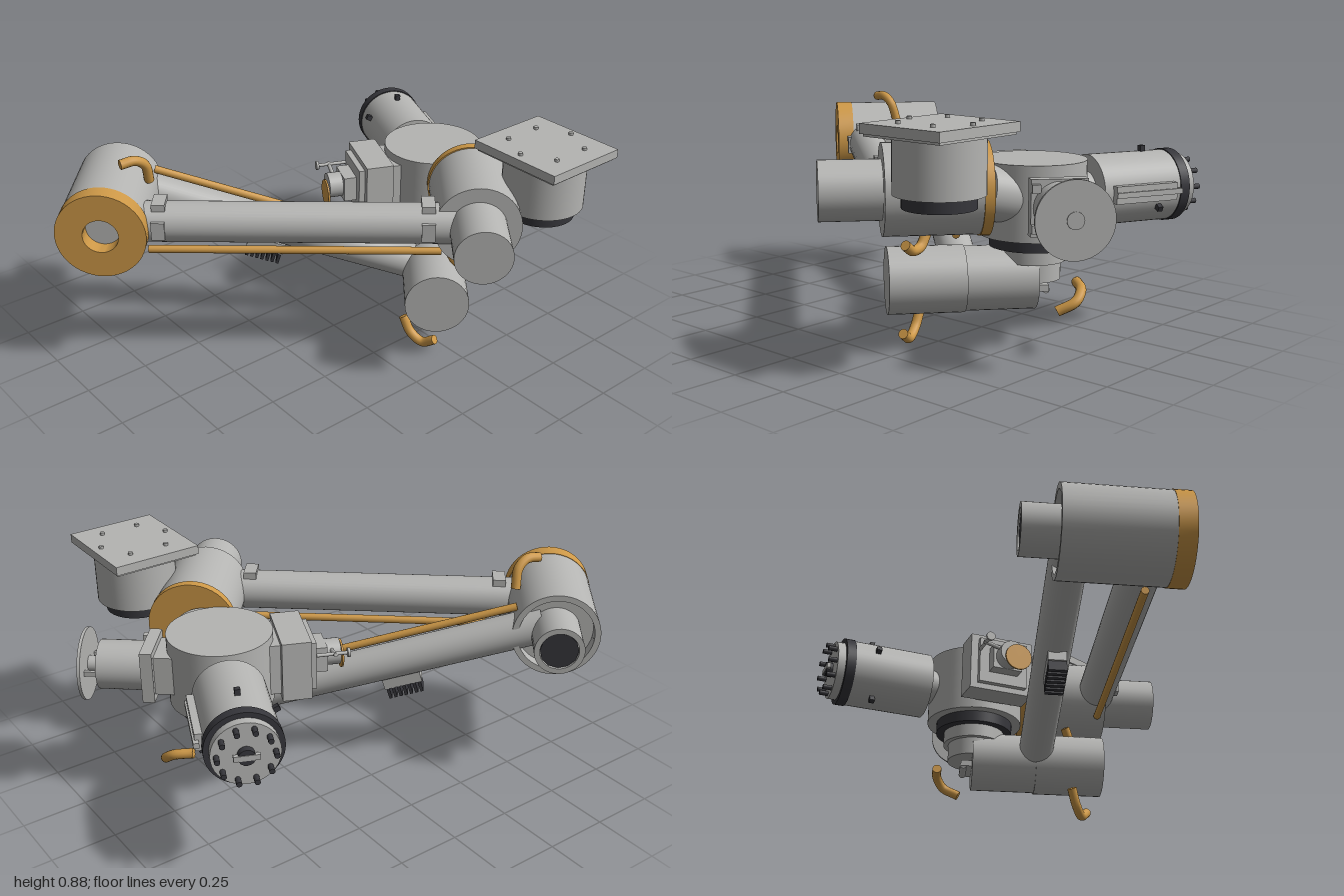
import * as THREE from 'three';
import { toCreasedNormals } from 'three/addons/utils/BufferGeometryUtils.js';

const makeMat = (name, color) => {
  const m = new THREE.MeshStandardMaterial({ color });
  m.name = name;
  return m;
};
const V = (a) => new THREE.Vector3(...a);

export function createModel() {
  const grey = makeMat('light grey', 0xb4b4b2);
  const dark = makeMat('charcoal', 0x36363b);
  const gold = makeMat('gold', 0xcd9847);
  const root = new THREE.Group();
  root.name = 'robotArm';

  const add = (parent, name, geo, mat) => {
    const m = new THREE.Mesh(geo, mat);
    m.name = name;
    parent.add(m);
    return m;
  };
  // Cylinder between two points
  const rod = (parent, name, mat, r, a, b, seg = 40) => {
    const p = V(a), q = V(b), d = q.clone().sub(p);
    const m = add(parent, name, new THREE.CylinderGeometry(r, r, d.length(), seg), mat);
    m.position.copy(p).add(q).multiplyScalar(0.5);
    m.quaternion.setFromUnitVectors(new THREE.Vector3(0, 1, 0), d.normalize());
    return m;
  };
  const box = (parent, name, mat, size, pos) => {
    const m = add(parent, name, new THREE.BoxGeometry(...size), mat);
    m.position.set(...pos);
    return m;
  };
  // Turned part along z; profile is [radius, z] from low z to high z
  const turned = (parent, name, mat, profile, x, y) => {
    const pts = profile.map(([r, z]) => new THREE.Vector2(r, z));
    const m = add(parent, name, toCreasedNormals(new THREE.LatheGeometry(pts, 48), 0.6), mat);
    m.rotation.x = Math.PI / 2;
    m.position.set(x, y, 0);
    return m;
  };
  const hook = (name, pts, r = 0.019) => {
    const curve = new THREE.CatmullRomCurve3(pts.map(V));
    add(root, name, new THREE.TubeGeometry(curve, 24, r, 12), gold);
    const ends = [curve.getPoint(0), curve.getPoint(1)];
    const dirs = [curve.getTangent(0), curve.getTangent(1)];
    ends.forEach((e, i) => {
      const d = dirs[i].multiplyScalar(0.002);
      rod(root, name + 'End', gold, r, e.clone().sub(d).toArray(), e.clone().add(d).toArray(), 12);
    });
  };

  // Arm frame: x runs along the arms, z along the joint drums
  const arm = new THREE.Group();
  arm.name = 'armAssembly';
  arm.rotation.y = -0.7011;
  root.add(arm);

  // Shoulder drum with gold ring and open back
  const sx = -0.843, sy = 0.61;
  turned(arm, 'shoulderDrum', grey,
    [[0, -0.06], [0.143, -0.06], [0.143, -0.11], [0.166, -0.11], [0.166, 0.275], [0, 0.275]], sx, sy);
  turned(arm, 'shoulderRing', gold,
    [[0.066, 0.272], [0.168, 0.272], [0.168, 0.338], [0.066, 0.338], [0.066, 0.272]], sx, sy);
  turned(arm, 'shoulderStub', grey,
    [[0, -0.215], [0.072, -0.215], [0.072, -0.236], [0.093, -0.236], [0.093, -0.06]], sx, sy);
  rod(arm, 'shoulderStubCore', dark, 0.071, [sx, sy, -0.2], [sx, sy, -0.23], 12);

  // Level arm and sloping arm with conduits
  rod(arm, 'upperArm', grey, 0.077, [-0.75, 0.61, 0.217], [0.45, 0.61, 0.217]);
  rod(arm, 'lowerArm', grey, 0.07, [-0.8, 0.627, -0.05], [0.4, 0.257, -0.055]);
  rod(arm, 'upperArmConduit', gold, 0.015, [-0.694, 0.49, 0.217], [0.406, 0.49, 0.217], 12);
  rod(arm, 'lowerArmConduit', gold, 0.015, [-0.695, 0.695, -0.045], [0.29, 0.39, -0.045], 12);
  for (const x of [-0.64, 0.35]) {
    box(arm, 'upperArmClamp', grey, [0.05, 0.03, 0.09], [x, 0.685, 0.217]);
    box(arm, 'upperArmClampSide', grey, [0.05, 0.07, 0.03], [x, 0.61, 0.285]);
  }

  // Finned connector under the sloping arm
  const fins = new THREE.Group();
  fins.name = 'finnedConnector';
  fins.position.set(-0.27, 0.375, -0.045);
  fins.rotation.z = -0.3;
  arm.add(fins);
  box(fins, 'connectorBlock', grey, [0.15, 0.045, 0.07], [0, 0, 0]);
  for (let i = 0; i < 7; i++) {
    box(fins, 'connectorFin', dark, [0.012, 0.045, 0.07], [-0.063 + i * 0.021, -0.044, 0]);
  }

  // Elbow drum
  const ex = 0.535, ey = 0.61;
  rod(arm, 'elbowDrum', grey, 0.163, [ex, ey, -0.085], [ex, ey, 0.253], 48);
  rod(arm, 'elbowDisc', gold, 0.168, [ex, ey, -0.118], [ex, ey, -0.083], 48);
  rod(arm, 'elbowStub', grey, 0.107, [ex, ey, 0.25], [ex, ey, 0.472]);
  rod(arm, 'elbowNeck', grey, 0.1, [0.47, 0.56, -0.25], [0.51, 0.59, -0.11]);

  // Lower joint drum
  rod(arm, 'lowerDrumFront', grey, 0.124, [0.4, 0.253, -0.055], [0.4, 0.253, 0.225]);
  rod(arm, 'lowerDrumBack', grey, 0.119, [0.4, 0.253, -0.315], [0.4, 0.253, -0.055]);
  box(arm, 'lowerDrumPlate', grey, [0.13, 0.024, 0.05], [0.4, 0.222, -0.335]);
  rod(arm, 'lowerDrumPin', grey, 0.014, [0.34, 0.215, -0.35], [0.46, 0.215, -0.35], 12);

  // Central body
  const bx = 0.503, bz = 0.02;
  const stack = [['bodyDrum', grey, 0.195, 0.416, 0.69], ['bodyBand', dark, 0.157, 0.372, 0.418],
    ['bodyCollar', grey, 0.125, 0.32, 0.373], ['bodyNeck', grey, 0.105, 0.25, 0.321]];
  for (const [n, m, r, y0, y1] of stack) rod(root, n, m, r, [bx, y0, bz], [bx, y1, bz], 56);

  // Side port: block, cylinder and disc
  const py = 0.556, pz = -0.345;
  box(arm, 'portMount', grey, [0.12, 0.15, 0.16], [0.575, py, pz]);
  box(arm, 'portFlange', grey, [0.045, 0.2, 0.2], [0.645, py, pz]);
  rod(arm, 'portCylinder', grey, 0.092, [0.65, py, pz], [0.835, py, pz]);
  rod(arm, 'portStem', grey, 0.03, [0.83, py, pz], [0.895, py, pz], 20);
  rod(arm, 'portDisc', grey, 0.135, [0.88, py, pz], [0.891, py, pz], 48);
  for (const s of [-1, 1]) {
    box(arm, 'portLug', grey, [0.05, 0.018, 0.014], [0.86, py, pz + s * 0.075]);
    box(arm, 'portFlangeLug', grey, [0.06, 0.03, 0.03], [0.66, py + s * 0.07, pz + 0.085]);
  }

  // Tool mount with bolted square plate
  const tx = 0.547, tz = 0.572;
  rod(root, 'mountBase', dark, 0.126, [tx, 0.59, tz], [tx, 0.636, tz]);
  rod(root, 'mountCylinder', grey, 0.156, [tx, 0.635, tz], [tx, 0.835, tz], 48);
  box(root, 'mountPlateLower', grey, [0.33, 0.012, 0.37], [tx, 0.832, 0.568]);
  box(root, 'mountPlate', grey, [0.347, 0.034, 0.39], [tx, 0.852, 0.568]);
  for (const s of [-1, 1]) {
    for (const [dx, dz] of [[0.075, 0.118], [0.075, -0.118], [0.138, 0]]) {
      rod(root, 'mountBolt', grey, 0.009, [tx + s * dx, 0.86, 0.568 + dz],
        [tx + s * dx, 0.879, 0.568 + dz], 10);
    }
  }

  // Rear frame: z points out along the motor, x towards the sensor box
  const rear = new THREE.Group();
  rear.name = 'rearAssembly';
  rear.position.set(bx, 0, bz);
  rear.rotation.y = 2.726;
  root.add(rear);
  const my = 0.557;
  rod(rear, 'motorNeck', grey, 0.07, [0, my, 0.15], [0, my, 0.24]);
  rod(rear, 'motorCylinder', grey, 0.133, [0, my, 0.226], [0, my, 0.555], 48);
  rod(rear, 'motorBand', dark, 0.137, [0, my, 0.55], [0, my, 0.588], 48);
  rod(rear, 'motorCap', grey, 0.118, [0, my, 0.58], [0, my, 0.62]);
  rod(rear, 'motorHub', dark, 0.03, [0, my, 0.61], [0, my, 0.645], 16);
  box(rear, 'motorHubBar', grey, [0.09, 0.02, 0.015], [0, my, 0.64]);
  for (let i = 0; i < 10; i++) {
    const a = (i / 10) * Math.PI * 2, c = Math.cos(a) * 0.098, s = Math.sin(a) * 0.098;
    rod(rear, 'motorPin', dark, 0.01, [c, my + s, 0.61], [c, my + s, 0.655], 10);
  }
  box(rear, 'motorRail', grey, [0.035, 0.065, 0.26], [-0.138, my, 0.39]);
  box(rear, 'motorRailEdge', grey, [0.02, 0.02, 0.28], [-0.152, my, 0.4]);
  for (let i = 0; i < 4; i++) {
    const a = Math.PI / 2 + i * Math.PI / 2 + (i === 0 ? 0 : 0.45);
    const tab = box(rear, 'motorTab', dark, [0.035, 0.02, 0.02],
      [Math.cos(a) * 0.137, my + Math.sin(a) * 0.137, 0.46]);
    tab.rotation.z = a;
  }

  // Sensor box with lens barrel and cover
  box(rear, 'sensorMount', grey, [0.1, 0.2, 0.2], [0.19, my, 0]);
  box(rear, 'sensorBox', grey, [0.11, 0.235, 0.26], [0.262, my, 0]);
  box(rear, 'sensorFace', grey, [0.03, 0.19, 0.2], [0.325, my, 0]);
  box(rear, 'sensorBlock', grey, [0.06, 0.1, 0.12], [0.36, my, 0]);
  rod(rear, 'sensorBarrel', grey, 0.05, [0.37, my, 0], [0.445, my, 0], 28);
  rod(rear, 'sensorCover', gold, 0.054, [0.452, 0.535, -0.02], [0.459, 0.535, -0.02], 28);
  rod(rear, 'sensorCoverPin', dark, 0.012, [0.44, 0.54, -0.01], [0.453, 0.54, -0.01], 10);
  rod(rear, 'sensorLever', grey, 0.008, [0.41, 0.58, 0.03], [0.41, 0.6, 0.11], 10);
  rod(rear, 'sensorLeverBar', grey, 0.007, [0.34, 0.6, 0.1], [0.46, 0.6, 0.1], 10);
  rod(rear, 'sensorLeverKnob', grey, 0.018, [0.455, 0.6, 0.1], [0.465, 0.6, 0.1], 14);

  // Bent gold grab handles
  hook('shoulderHandle', [[-0.7, 0.812, -0.385], [-0.645, 0.815, -0.375], [-0.603, 0.785, -0.375], [-0.583, 0.712, -0.388]]);
  hook('lowerHandle', [[0.157, 0.11, 0.25], [0.165, 0.05, 0.285], [0.183, 0.021, 0.335], [0.2, 0.05, 0.385]]);
  hook('bodyHandle', [[0.67, 0.25, -0.03], [0.725, 0.238, 0.02], [0.735, 0.205, 0.065], [0.69, 0.172, 0.11]]);
  hook('elbowHandle', [[0.3, 0.41, 0.475], [0.292, 0.383, 0.43], [0.287, 0.39, 0.385], [0.285, 0.44, 0.35]]);

  return root;
}
